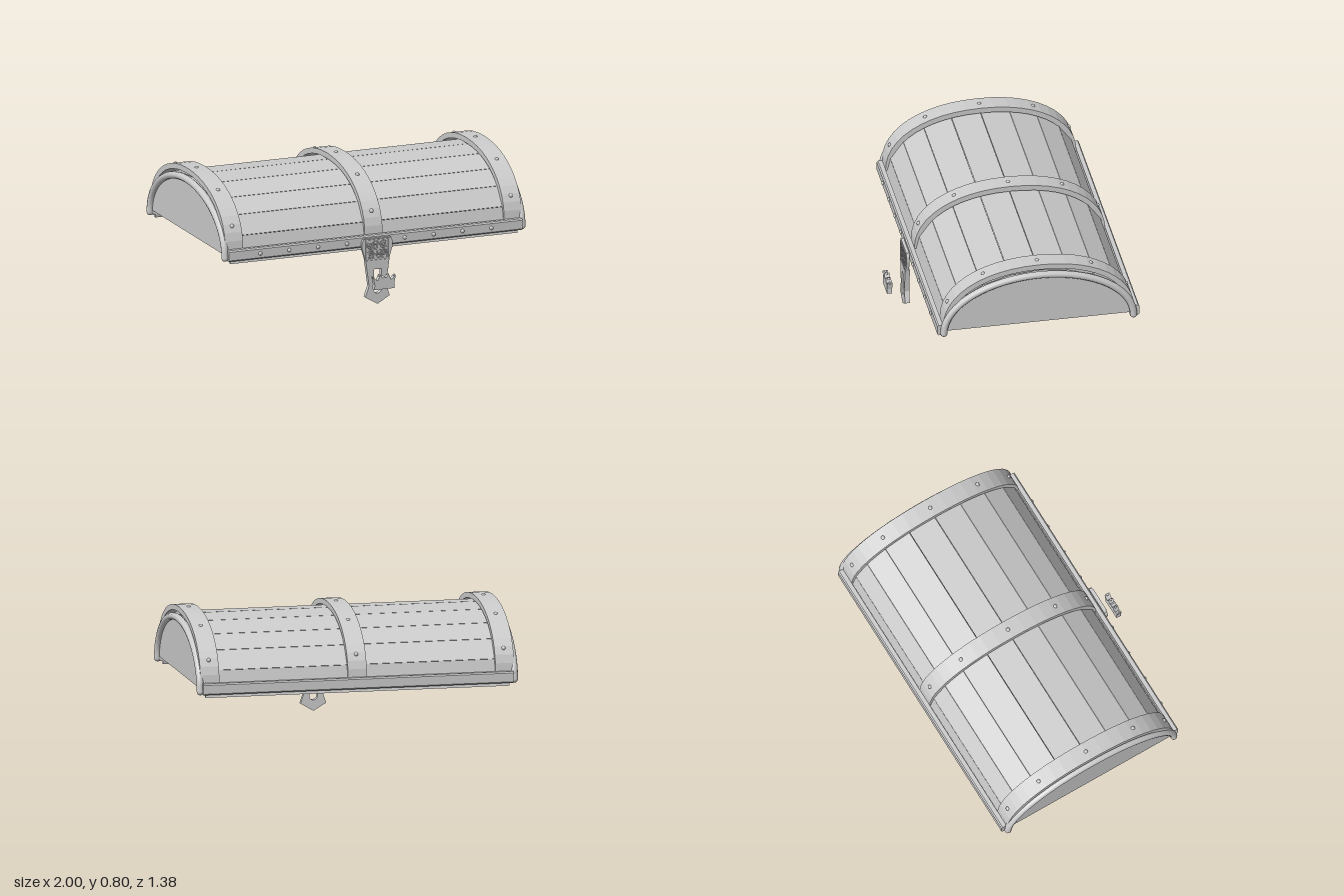
import * as THREE from 'three';

const CZ = -0.065; // centre line of the vault along z

export function createModel() {
  const model = new THREE.Group();
  model.name = 'chestLid';
  const grey = new THREE.MeshStandardMaterial({ color: 0xcccccc });
  grey.name = 'plain grey';

  const add = (name, geo, x = 0, y = 0, z = 0, parent = model) => {
    const mesh = new THREE.Mesh(geo, grey);
    mesh.name = name;
    mesh.position.set(x, y, z);
    parent.add(mesh);
    return mesh;
  };
  const V = (x, y) => new THREE.Vector2(x, y);

  // Arch of a slightly squared ellipse, from one side over the top to the other
  const arch = (a, b, y0, n, steps) => Array.from({ length: steps + 1 }, (_, i) => {
    const t = Math.PI * i / steps, c = Math.cos(t), s = Math.max(0, Math.sin(t));
    return V(Math.sign(c) * a * Math.abs(c) ** (2 / n), y0 + b * s ** (2 / n));
  });
  // Profile in the z-y plane, extruded along x and centred
  const alongX = (points, width) => {
    const geo = new THREE.ExtrudeGeometry(new THREE.Shape(points), { depth: width, bevelEnabled: false });
    return geo.translate(0, 0, -width / 2).rotateY(Math.PI / 2);
  };

  // Planks of the vault, each a flat board with a fine seam
  const half = [[0.597, 0.337], [0.583, 0.4], [0.56, 0.5], [0.48, 0.61], [0.35, 0.685], [0.18, 0.738]].map(p => V(...p));
  const rim = [...half, V(0, 0.755), ...half.slice().reverse().map(p => V(-p.x, p.y))];
  const inset = p => V(p.x * 0.967, 0.337 + (p.y - 0.337) * 0.957);
  const planks = new THREE.Group();
  planks.name = 'planks';
  model.add(planks);
  for (let i = 0; i < rim.length - 1; i++) {
    const a = rim[i].clone().lerp(rim[i + 1], 0.008), b = rim[i + 1].clone().lerp(rim[i], 0.008);
    add('plank', alongX([a, b, inset(b), inset(a)], 1.89), 0, 0, CZ, planks);
  }

  // Iron straps with rivets
  const outer = arch(0.59, 0.374, 0.42, 2.15, 24);
  const inner = arch(0.557, 0.34, 0.42, 2.15, 24).reverse();
  const rivetGeo = new THREE.SphereGeometry(0.013, 10, 8);
  for (const x of [-0.917, 0, 0.917]) {
    const strap = new THREE.Group();
    strap.name = 'strap';
    strap.position.set(x, 0, CZ);
    model.add(strap);
    add('strapBand', alongX([...outer, ...inner], 0.117), 0, 0, 0, strap);
    for (const u of [-0.552, -0.333, 0, 0.333, 0.552]) {
      const y = 0.42 + 0.374 * (1 - (Math.abs(u) / 0.59) ** 2.15) ** (1 / 2.15);
      add('strapRivet', rivetGeo, 0, y - 0.004, u, strap);
    }
  }

  // End panels and the round mouldings around them
  for (const side of [-1, 1]) {
    add('endPanel', alongX(arch(0.575, 0.335, 0.388, 2, 32), 0.045), side * 0.948, 0, CZ);
    const path = arch(0.586, 0.347, 0.376, 2, 24).map(p => new THREE.Vector3(0, p.y, p.x));
    const curve = new THREE.CatmullRomCurve3(path);
    add('endMoulding', new THREE.TubeGeometry(curve, 48, 0.022, 10), side * 0.977, 0, CZ);
    for (const u of [-0.586, 0.586])
      add('mouldingEnd', new THREE.SphereGeometry(0.022, 10, 8), side * 0.977, 0.376, CZ + u);
  }

  // Angled rails along the front and back edges
  const rail = [[0.567, 0.358], [0.616, 0.358], [0.624, 0.366], [0.624, 0.42], [0.616, 0.428], [0.59, 0.428], [0.59, 0.385], [0.567, 0.385]];
  add('backRail', alongX(rail.map(p => V(...p)), 1.93), 0, 0, CZ);
  add('frontRail', alongX(rail.map(p => V(-p[0], p[1])).reverse(), 1.93), 0, 0, CZ);
  for (const side of [-1, 1])
    for (let i = 1; i <= 4; i++) add('railRivet', rivetGeo, side * 0.19 * i, 0.393, 0.557);

  // Hasp with a slot
  const hasp = new THREE.Group();
  hasp.name = 'hasp';
  model.add(hasp);
  const mirrored = pts => [...pts, ...pts.slice().reverse().filter(p => p[0] > 0).map(p => [-p[0], p[1]])].map(p => V(...p));
  const plate = (pts, depth, hole) => {
    const shape = new THREE.Shape(mirrored(pts));
    if (hole) shape.holes.push(hole);
    return new THREE.ExtrudeGeometry(shape, { depth, bevelEnabled: false });
  };
  const slot = new THREE.Path();
  slot.moveTo(-0.025, 0.222);
  slot.lineTo(-0.025, 0.095);
  slot.absarc(0, 0.095, 0.025, Math.PI, 2 * Math.PI, false);
  slot.lineTo(0.025, 0.222);
  slot.closePath();
  add('haspPlate', plate([[0, 0.003], [0.08, 0.05], [0.056, 0.12], [0.078, 0.28]], 0.03, slot), 0, 0, 0.556, hasp);
  add('haspTop', plate([[0.078, 0.28], [0.1, 0.355], [0.1, 0.39], [0.09, 0.413]], 0.019, null), 0, 0, 0.562, hasp);

  // Raised scrollwork on the hasp
  const bar = (w, h, x, y) => add('scrollFrame', new THREE.BoxGeometry(w, h, 0.008), x, y, 0.582, hasp);
  for (const s of [-1, 1]) {
    bar(0.152, 0.006, 0, 0.346 + s * 0.058);
    bar(0.006, 0.116, s * 0.073, 0.346);
    for (const t of [-1, 1]) {
      const scroll = (r, x, y, arc, turn) => {
        const m = add('scroll', new THREE.TorusGeometry(r, 0.004, 6, 14, arc), s * x, 0.346 + t * y, 0.582, hasp);
        m.rotation.z = turn;
      };
      scroll(0.022, 0.043, 0.028, 5, Math.atan2(t, s));
      scroll(0.009, 0.043, 0.028, 2 * Math.PI, 0);
      scroll(0.014, 0.014, 0.018, 4.2, Math.atan2(-t, s));
      scroll(0.01, 0.012, 0.043, 4.2, Math.atan2(t, -s));
    }
  }
  const boss = add('scrollBoss', new THREE.CylinderGeometry(0.009, 0.009, 0.008, 8), 0, 0.346, 0.582, hasp);
  boss.rotation.x = Math.PI / 2;

  // Crown-shaped catch standing in front of the hasp
  const crown = [[0.066, 0.123], [0.064, 0.155], [0.074, 0.204], [0.044, 0.177], [0.028, 0.213], [0.012, 0.192], [0, 0.2]];
  add('crownCatch', plate(crown, 0.032), 0, 0, 0.663);
  for (const s of [-1, 1]) {
    add('crownTip', new THREE.SphereGeometry(0.008, 8, 6), s * 0.069, 0.2, 0.679);
    add('crownTip', new THREE.SphereGeometry(0.008, 8, 6), s * 0.028, 0.207, 0.679);
  }

  return model;
}
